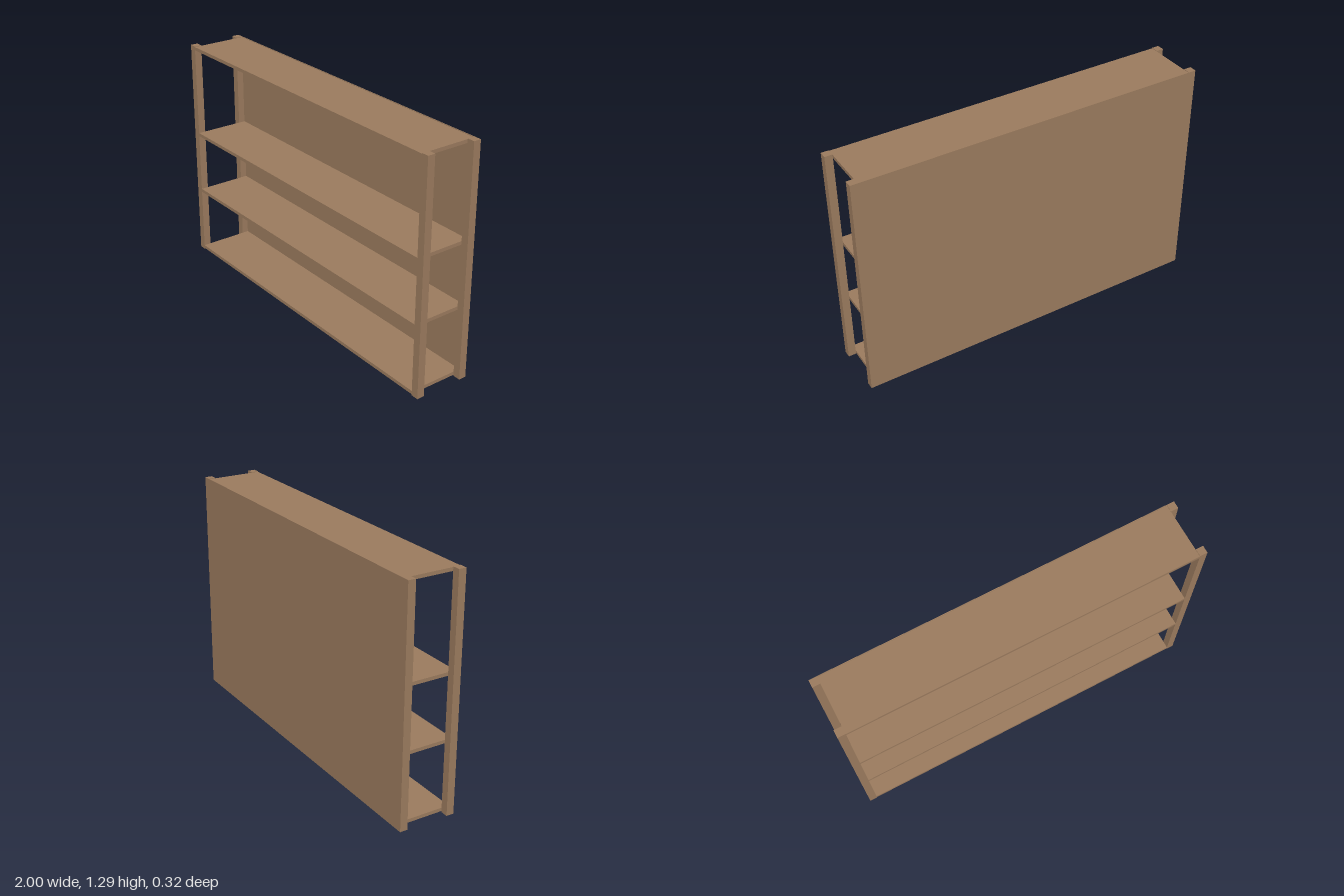
import * as THREE from 'three';

const HEIGHT = 1.286, DEPTH = 0.32, POST = 0.042, PANEL = 0.004;

export function createModel() {
  const group = new THREE.Group();
  const wood = new THREE.MeshStandardMaterial({ color: 0x9b7b5e });

  // Box placed by its centre in x and z and by its underside in y
  function board(name, w, h, d, x, y, z) {
    const mesh = new THREE.Mesh(new THREE.BoxGeometry(w, h, d), wood);
    mesh.name = name;
    mesh.position.set(x, y + h / 2, z);
    group.add(mesh);
  }

  // Four corner posts; the rear pair stands against the back panel
  const front = DEPTH / 2, back = -DEPTH / 2 + PANEL;
  for (const [side, x] of [['left', 1 - POST / 2], ['right', POST / 2 - 1]]) {
    board(side + 'FrontPost', POST, HEIGHT, POST, x, 0, front - POST / 2);
    board(side + 'BackPost', POST, HEIGHT, POST - PANEL, x, 0, back + (POST - PANEL) / 2);
  }

  // Shelves fitted between the posts, bottom to top
  [0.006, 0.385, 0.743, 1.264].forEach((y, i) =>
    board('shelf' + (i + 1), 2 - 2 * POST, 0.019, front - back, 0, y, (front + back) / 2));

  // Thin panel closing the whole back
  board('backPanel', 2, HEIGHT, PANEL, 0, 0, back - PANEL / 2);

  return group;
}
